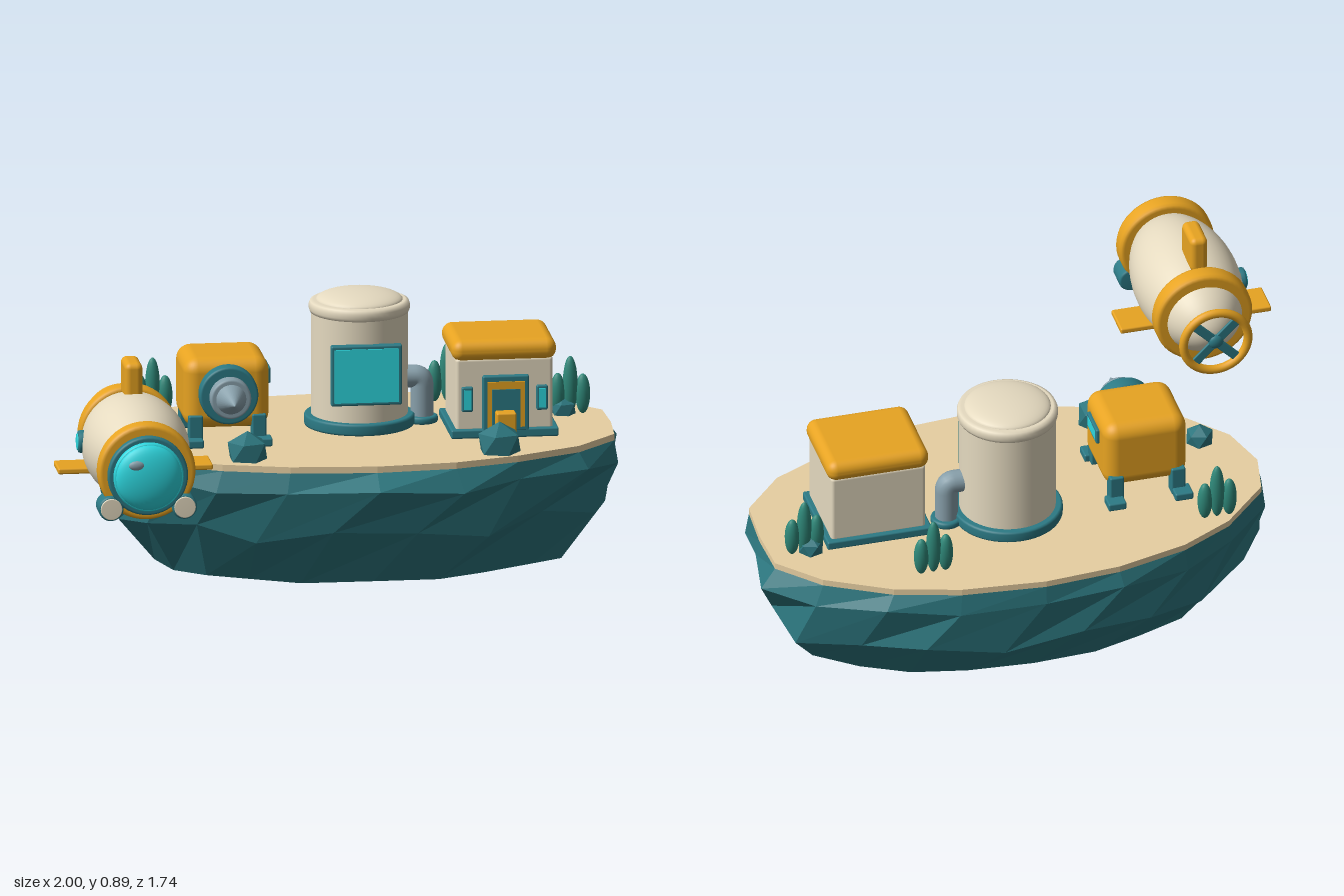
import * as THREE from 'three';
import { RoundedBoxGeometry } from 'three/addons/geometries/RoundedBoxGeometry.js';

const material = (name, color, extra = {}) => {
  const m = new THREE.MeshStandardMaterial({ color, ...extra });
  m.name = name;
  return m;
};

export function createModel() {
  const rockMat = material('rock teal', 0x2c757d, { flatShading: true, side: THREE.DoubleSide });
  const sand = material('sand', 0xe7cfa2);
  const cream = material('cream', 0xe5dac0);
  const yellow = material('yellow', 0xeba622);
  const teal = material('trim teal', 0x2c7a85);
  const cyan = material('glass cyan', 0x2dd8e0);
  const grey = material('steel grey', 0x88a0ab);
  const green = material('plant green', 0x2f897a);

  const root = new THREE.Group();
  const group = (name, x = 0, y = 0, z = 0) => {
    const g = new THREE.Group();
    g.name = name;
    g.position.set(x, y, z);
    root.add(g);
    return g;
  };
  const add = (parent, name, geo, mat, x = 0, y = 0, z = 0) => {
    const m = new THREE.Mesh(geo, mat);
    m.name = name;
    m.position.set(x, y, z);
    parent.add(m);
    return m;
  };
  const box = (w, h, d, r = 0.006) => new RoundedBoxGeometry(w, h, d, 4, r);
  // Solid of revolution with softened rims; axis y, or z for discZ
  const disc = (r, h, bevel = 0.008) => new THREE.LatheGeometry([
    [0, -h / 2], [r - bevel, -h / 2], [r - bevel * 0.3, -h / 2 + bevel * 0.3], [r, -h / 2 + bevel],
    [r, h / 2 - bevel], [r - bevel * 0.3, h / 2 - bevel * 0.3], [r - bevel, h / 2], [0, h / 2],
  ].map(([a, b]) => new THREE.Vector2(a, b)), 48);
  const discZ = (r, h, bevel) => disc(r, h, bevel).rotateX(Math.PI / 2);

  // Island rock: faceted rings following one outline, each lower ring twisted back
  const cx = 0.11, cz = -0.35, g0 = 0.432;
  const outline = [
    [-0.77, -0.35], [-0.72, -0.18], [-0.575, -0.01], [-0.42, 0.09], [-0.19, 0.155], [0.11, 0.24], [0.4, 0.18],
    [0.6, 0.08], [0.84, -0.02], [0.96, -0.18], [0.97, -0.35], [1.0, -0.53], [0.85, -0.67], [0.64, -0.8],
    [0.4, -0.85], [0.11, -0.87], [-0.16, -0.86], [-0.4, -0.78], [-0.58, -0.68], [-0.74, -0.51],
  ];
  const n = outline.length;
  const ring = (y, sx, sz, dz, twist, wobbleY, wobbleR) => outline.map(([x, z], i) => {
    const [px, pz] = outline[(i + n - 1) % n];
    const k = 1 + wobbleR * Math.sin(i * 2.7 + y * 40);
    const mx = x + (px - x) * twist, mz = z + (pz - z) * twist;
    return [cx + (mx - cx) * sx * k, y + wobbleY * Math.sin(i * 2.3 + y * 9), cz + dz + (mz - cz) * sz * k];
  });
  // Sand edge: an ellipse kept within the rock outline
  const edge = outline.map(([x, z]) => {
    const k = Math.min(0.985, 1 / Math.hypot((x - cx) / 0.89, (z - cz) / 0.513));
    return [cx + (x - cx) * k, cz + (z - cz) * k];
  });
  const rim = edge.map(([x, z]) => [x, 0.41, z]);
  const rings = [rim, ring(0.348, 1, 1, 0, 0, 0.015, 0), ring(0.19, 0.96, 0.95, -0.02, 0.5, 0.03, 0.02),
    ring(0.006, 0.77, 0.685, 0, 1, 0.006, 0.02)];
  const tri = [];
  for (let i = 0; i < n; i++) {
    const j = (i + 1) % n;
    for (let k = 0; k < 3; k++) {
      const [a, b] = [rings[k], rings[k + 1]];
      tri.push(a[i], b[i], a[j], a[j], b[i], b[j]);
    }
    tri.push([cx, 0.006, cz], rings[3][j], rings[3][i], [cx, 0.41, cz], rim[i], rim[j]);
  }
  const rockGeo = new THREE.BufferGeometry();
  rockGeo.setAttribute('position', new THREE.Float32BufferAttribute(tri.flat(), 3));
  rockGeo.computeVertexNormals();
  const island = group('island');
  add(island, 'rock', rockGeo, rockMat);
  const sandShape = new THREE.Shape(edge.map(([x, z]) => new THREE.Vector2(x, -z)));
  add(island, 'sandTop', new THREE.ExtrudeGeometry(sandShape, { depth: 0.03, bevelEnabled: false })
    .rotateX(-Math.PI / 2), sand, 0, g0 - 0.03, 0);

  // Storage tank with domed lid, screen and elbow pipe
  const tank = group('tank', 0.126, g0, -0.432);
  add(tank, 'tankBase', disc(0.184, 0.04), teal, 0, 0.02, 0);
  add(tank, 'tankBody', new THREE.CylinderGeometry(0.161, 0.161, 0.37, 48), cream, 0, 0.22, 0);
  add(tank, 'tankRim', disc(0.168, 0.045, 0.015), cream, 0, 0.405, 0);
  add(tank, 'tankDome', new THREE.SphereGeometry(1, 48, 12, 0, Math.PI * 2, 0, Math.PI / 2).scale(0.145, 0.034, 0.145),
    cream, 0, 0.425, 0);
  add(tank, 'screenFrame', box(0.238, 0.205, 0.03), teal, 0.002, 0.207, 0.164);
  add(tank, 'screenGlass', new THREE.BoxGeometry(0.215, 0.182, 0.008), cyan, 0.002, 0.207, 0.181);
  const elbow = new THREE.CurvePath();
  const v = (x, y) => new THREE.Vector3(x, y, 0);
  elbow.add(new THREE.LineCurve3(v(0.13, 0.157), v(0.185, 0.157)));
  elbow.add(new THREE.QuadraticBezierCurve3(v(0.185, 0.157), v(0.21, 0.157), v(0.21, 0.127)));
  elbow.add(new THREE.LineCurve3(v(0.21, 0.127), v(0.21, 0)));
  add(tank, 'pipe', new THREE.TubeGeometry(elbow, 32, 0.038, 20), grey);
  add(tank, 'pipeFlange', disc(0.053, 0.025), teal, 0.21, 0.0125, 0);

  // Hut with rounded roof, door and windows
  const hut = group('hut', 0.581, g0, -0.335);
  add(hut, 'hutBase', box(0.36, 0.03, 0.32), teal, 0, 0.015, 0);
  add(hut, 'hutWalls', box(0.325, 0.25, 0.285, 0.012), cream, 0, 0.145, 0);
  add(hut, 'hutRoof', box(0.35, 0.073, 0.308, 0.034), yellow, 0, 0.294, 0);
  add(hut, 'doorFrame', box(0.155, 0.19, 0.035), teal, 0.003, 0.117, 0.143);
  add(hut, 'doorSurround', new THREE.BoxGeometry(0.125, 0.155, 0.008), yellow, 0.003, 0.115, 0.162);
  add(hut, 'door', new THREE.BoxGeometry(0.095, 0.135, 0.008), teal, 0.003, 0.1, 0.166);
  add(hut, 'doorStep', box(0.066, 0.075, 0.05), yellow, -0.002, 0.06, 0.192);
  for (const x of [-0.125, 0.125]) {
    add(hut, 'windowFrame', box(0.038, 0.085, 0.02), teal, x, 0.132, 0.145);
    add(hut, 'windowGlass', new THREE.BoxGeometry(0.024, 0.066, 0.006), cyan, x, 0.132, 0.156);
  }

  // Drilling machine on four feet
  const drill = group('drillMachine', -0.345, g0, -0.335);
  add(drill, 'drillBody', box(0.286, 0.24, 0.27, 0.048), yellow, 0, 0.172, 0);
  for (const x of [-0.115, 0.115]) for (const z of [-0.155, 0.15]) {
    add(drill, 'foot', box(0.062, 0.028, 0.062), teal, x, 0.014, z);
    add(drill, 'leg', box(0.048, 0.1, 0.048), teal, x * 0.92, 0.052, z * 0.78);
  }
  add(drill, 'collar', discZ(0.098, 0.055), teal, 0, 0.178, 0.157);
  add(drill, 'chuck', discZ(0.068, 0.05), grey, 0, 0.178, 0.208);
  add(drill, 'drillTip', new THREE.ConeGeometry(0.052, 0.1, 32).rotateX(Math.PI / 2), grey, 0, 0.178, 0.28);
  add(drill, 'sidePanel', box(0.02, 0.055, 0.12), teal, 0.144, 0.215, 0.005);
  add(drill, 'sidePanelGlass', new THREE.BoxGeometry(0.006, 0.035, 0.095), cyan, 0.152, 0.215, 0.005);

  // Boulders: squat icosahedra standing on a point
  const boulders = group('boulders');
  const ico = new THREE.IcosahedronGeometry(1, 0).rotateZ(Math.atan(2 / (1 + Math.sqrt(5))));
  for (const [x, z, r] of [[-0.305, 0.005, 0.074], [0.538, 0.01, 0.079], [-0.6, -0.195, 0.05], [0.815, -0.48, 0.046]]) {
    const b = add(boulders, 'boulder', ico, rockMat, x, g0 + r * 0.4, z);
    b.scale.set(r, r * 0.9, r);
  }

  // Plants: three slim leaves each
  const plants = group('plants');
  const leaf = new THREE.SphereGeometry(1, 16, 16);
  for (const [x, z] of [[-0.54, -0.635], [0.455, -0.705], [0.838, -0.48]]) {
    [[-0.042, 0.14], [0, 0.197], [0.042, 0.135]].forEach(([dx, h]) => {
      add(plants, 'leaf', leaf, green, x + dx, g0 + h / 2, z).scale.set(0.025, h / 2, 0.022);
    });
  }

  // Submarine, nose towards +z
  const sub = group('submarine', -0.741, 0.606, 0);
  add(sub, 'hull', new THREE.SphereGeometry(1, 48, 32).rotateX(Math.PI / 2).scale(0.177, 0.172, 0.33), cream, 0, 0, 0.48);
  add(sub, 'rearBand', discZ(0.167, 0.07, 0.015), yellow, 0, 0, 0.288);
  add(sub, 'frontBand', discZ(0.163, 0.07, 0.015), yellow, 0, -0.013, 0.753);
  add(sub, 'windowRing', discZ(0.134, 0.035), teal, 0, -0.02, 0.795);
  add(sub, 'windowRim', discZ(0.117, 0.03), cyan, 0, -0.02, 0.817);
  add(sub, 'windowDome', new THREE.SphereGeometry(1, 40, 12, 0, Math.PI * 2, 0, Math.PI / 2)
    .rotateX(Math.PI / 2).scale(0.111, 0.111, 0.038), cyan, 0, -0.02, 0.829);
  add(sub, 'windowGlint', new THREE.SphereGeometry(1, 16, 12).scale(0.026, 0.016, 0.01), grey, -0.045, 0.029, 0.859);
  add(sub, 'topFin', box(0.06, 0.13, 0.13, 0.02), yellow, 0, 0.209, 0.38);
  add(sub, 'sideFins', box(0.518, 0.02, 0.123), yellow, 0, -0.077, 0.423);
  for (const x of [-0.123, 0.123]) {
    add(sub, 'lampBody', discZ(0.042, 0.085), teal, x, -0.13, 0.765);
    add(sub, 'lampLens', discZ(0.036, 0.008, 0.003), cream, x, -0.13, 0.81);
  }
  add(sub, 'porthole', disc(0.038, 0.03).rotateZ(Math.PI / 2), teal, -0.173, 0.012, 0.435);
  add(sub, 'portholeGlass', disc(0.028, 0.006, 0.002).rotateZ(Math.PI / 2), cyan, -0.188, 0.012, 0.435);

  // Ducted propeller
  add(sub, 'propellerRing', new THREE.TorusGeometry(0.111, 0.015, 16, 48), yellow, 0, 0, 0.115);
  add(sub, 'propellerHub', new THREE.SphereGeometry(0.026, 20, 16).scale(1, 1, 0.6), teal, 0, 0, 0.115);
  for (const a of [0, Math.PI / 2]) {
    add(sub, 'propellerBlades', box(0.21, 0.032, 0.01, 0.004), teal, 0, 0, 0.115).rotation.z = a + Math.PI / 4;
  }
  return root;
}
